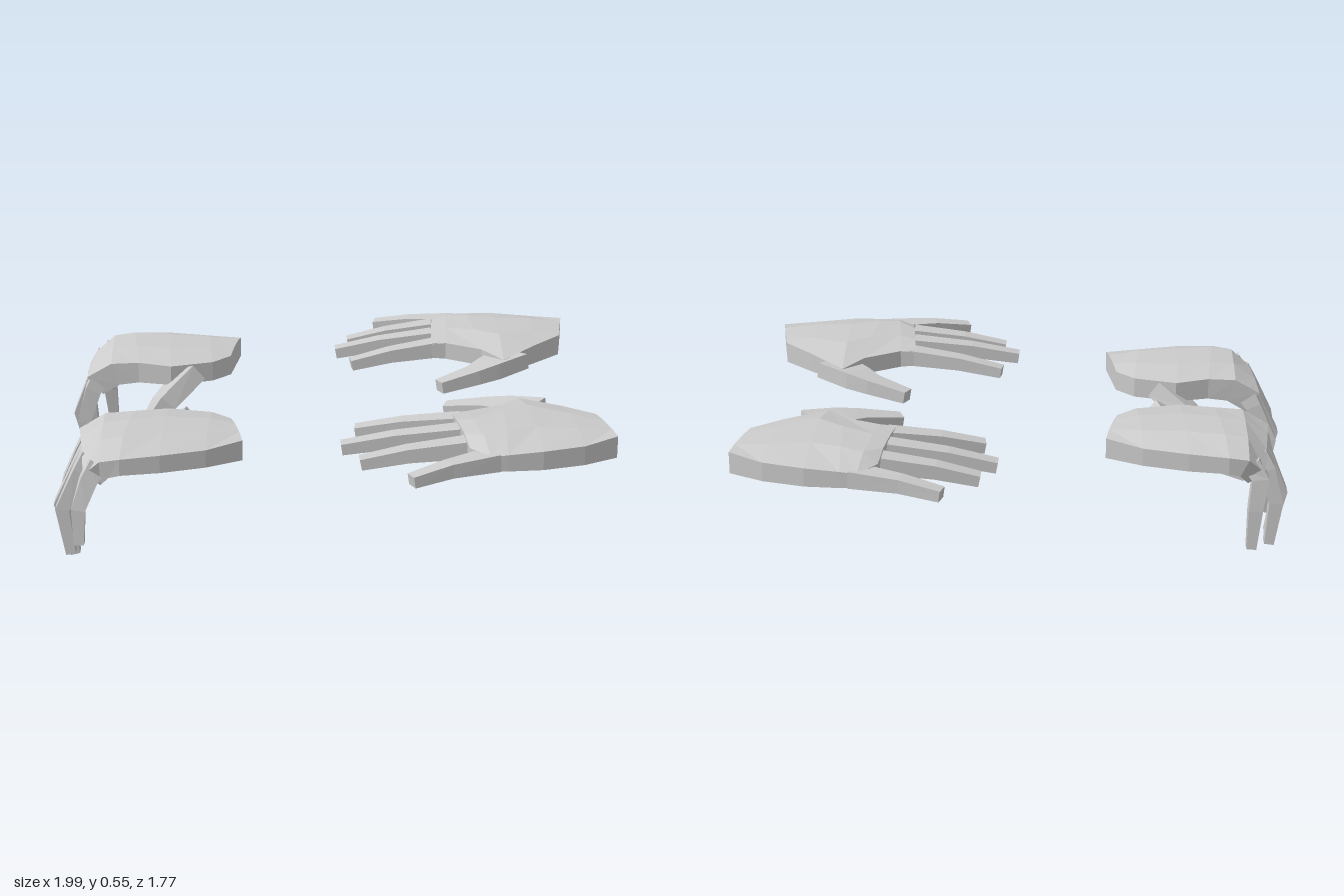
import * as THREE from 'three';

const material = new THREE.MeshStandardMaterial({ color: 0xcccccc, flatShading: true });

// Closed skin through rings of equal point count, turned so that it faces outward
function loft(name, rings) {
  const n = rings[0].length, last = (rings.length - 1) * n;
  const pts = rings.flat();
  const tris = [];
  for (let r = 0; r < rings.length - 1; r++) {
    for (let i = 0; i < n; i++) {
      const a = r * n + i, b = r * n + (i + 1) % n;
      tris.push([a, b, b + n], [a, b + n, a + n]);
    }
  }
  for (let i = 1; i < n - 1; i++) {
    tris.push([0, i + 1, i], [last, last + i, last + i + 1]);
  }
  const center = pts.reduce((s, p) => s.add(p), new THREE.Vector3()).divideScalar(pts.length);
  const rel = pts.map((p) => p.clone().sub(center));
  let volume = 0;
  for (const [a, b, c] of tris) volume += rel[a].dot(rel[b].clone().cross(rel[c]));
  if (volume < 0) tris.forEach((t) => t.reverse());
  const indexed = new THREE.BufferGeometry().setFromPoints(pts);
  indexed.setIndex(tris.flat());
  const geometry = indexed.toNonIndexed();
  geometry.computeVertexNormals();
  const mesh = new THREE.Mesh(geometry, material);
  mesh.name = name;
  return mesh;
}

// Palm from stations: thumb-side x,z / little-finger-side x,z / top heights (thumb, middle, outer) / bottom / bottom lean
function palm(stations, place) {
  const rings = stations.map(([ax, az, bx, bz, ya, ym, yb, bot, lean = 0]) => {
    const at = (t, y, dx = 0) => place(ax + (bx - ax) * t + dx, y, az + (bz - az) * t);
    return [at(0, ya), at(0.33, ym), at(0.72, ym), at(1, yb), at(1, bot, lean), at(0, bot, lean)];
  });
  return loft('palm', rings);
}

// Finger as a tapering box chain; each joint is x, y, z, width, thickness
function finger(name, joints, place) {
  const c = joints.map(([x, y, z]) => place(x, y, z));
  const rings = joints.map(([, , , w, h], i) => {
    const t = c[Math.min(i + 1, c.length - 1)].clone().sub(c[Math.max(i - 1, 0)]).normalize();
    const up = t.clone().cross(new THREE.Vector3(0, 0, 1)).normalize();
    const side = up.clone().cross(t);
    return [[1, 1], [1, -1], [-1, -1], [-1, 1]].map(([u, v]) =>
      c[i].clone().addScaledVector(side, u * w / 2).addScaledVector(up, v * h / 2));
  });
  return loft(name, rings);
}

const fingerNames = ['indexFinger', 'middleFinger', 'ringFinger', 'littleFinger'];

const openPalm = [
  [0.96, 0.43, 1.0, 0.655, 0.525, 0.53, 0.525, 0.445],
  [0.85, 0.325, 0.875, 0.72, 0.52, 0.54, 0.515, 0.445],
  [0.71, 0.195, 0.725, 0.765, 0.505, 0.547, 0.515, 0.447],
  [0.635, 0.295, 0.60, 0.78, 0.515, 0.547, 0.51, 0.45],
  [0.5, 0.365, 0.54, 0.785, 0.52, 0.54, 0.505, 0.455],
  [0.44, 0.365, 0.475, 0.705, 0.515, 0.53, 0.51, 0.46],
];

// Open hand lying flat; tips hold x, y, z
function openHand(name, place, tips) {
  const hand = new THREE.Group();
  hand.name = name;
  hand.add(palm(openPalm, place));
  const bases = [[0.47, 0.49, 0.405], [0.46, 0.492, 0.522], [0.47, 0.49, 0.645], [0.56, 0.48, 0.74]];
  tips.forEach((tip, i) => {
    const base = bases[i];
    const mid = base.map((v, k) => v + (tip[k] - v) * 0.55);
    mid[1] += 0.008;
    hand.add(finger(fingerNames[i], [
      [...base, i === 3 ? 0.09 : 0.075, 0.062],
      [...mid, 0.062, 0.05],
      [...tip, 0.052, 0.04],
    ], place));
  });
  hand.add(finger('thumb', [
    [0.76, 0.48, 0.29, 0.16, 0.06],
    [0.655, 0.465, 0.205, 0.12, 0.062],
    [0.59, 0.455, 0.16, 0.085, 0.055],
    [0.452, 0.432, 0.102, 0.055, 0.045],
  ], place));
  return hand;
}

const curledPalm = [
  [-0.35, 0.285, -0.31, 0.51, 0.475, 0.485, 0.475, 0.40],
  [-0.42, 0.215, -0.44, 0.575, 0.475, 0.495, 0.465, 0.40],
  [-0.58, 0.17, -0.60, 0.62, 0.475, 0.50, 0.465, 0.40],
  [-0.705, 0.205, -0.74, 0.64, 0.48, 0.50, 0.46, 0.40],
  [-0.81, 0.21, -0.81, 0.635, 0.475, 0.49, 0.45, 0.39, 0.03],
  [-0.905, 0.215, -0.87, 0.60, 0.42, 0.435, 0.39, 0.35, 0.06],
];

// Hand with fingers hanging down; rows hold base z, tip z, outermost x, tip x, tip y
function curledHand(name, place, rows, thumb) {
  const hand = new THREE.Group();
  hand.name = name;
  hand.add(palm(curledPalm, place));
  rows.forEach(([zb, zt, xOut, xTip, yTip], i) => {
    const yMid = yTip + (0.38 - yTip) * 0.52;
    const x0 = i === 3 ? -0.82 : -0.85;
    hand.add(finger(fingerNames[i], [
      [x0, 0.415, zb, 0.09, 0.07],
      [x0 - 0.035, 0.36, zb + (zt - zb) * 0.3, 0.085, 0.06],
      [xOut + 0.03, yMid, zb + (zt - zb) * 0.75, 0.066, 0.05],
      [xTip, yTip, zt, 0.05, 0.035],
    ], place));
  });
  hand.add(finger('thumb', thumb, place));
  return hand;
}

export function createModel() {
  const model = new THREE.Group();
  const front = (x, y, z) => new THREE.Vector3(x, y, z);
  const backOpen = (x, y, z) => new THREE.Vector3(x, y, -z - 0.042);
  const backCurled = (x, y, z) => new THREE.Vector3(x, y + 0.045, -z);

  model.add(openHand('frontOpenHand', front, [
    [0.1, 0.445, 0.353], [0.04, 0.447, 0.522], [0.1, 0.44, 0.652], [0.262, 0.452, 0.855],
  ]));
  model.add(openHand('backOpenHand', backOpen, [
    [0.125, 0.44, 0.36], [0.072, 0.435, 0.528], [0.127, 0.435, 0.65], [0.247, 0.452, 0.825],
  ]));

  model.add(curledHand('frontCurledHand', front, [
    [0.262, 0.218, -0.98, -0.925, 0.06],
    [0.37, 0.39, -1.0, -0.925, 0.003],
    [0.47, 0.515, -0.985, -0.93, 0.058],
    [0.56, 0.64, -0.92, -0.89, 0.145],
  ], [
    [-0.53, 0.425, 0.235, 0.17, 0.07],
    [-0.62, 0.36, 0.165, 0.13, 0.07],
    [-0.715, 0.27, 0.125, 0.075, 0.06],
    [-0.84, 0.235, 0.155, 0.045, 0.04],
  ]));
  model.add(curledHand('backCurledHand', backCurled, [
    [0.262, 0.23, -0.95, -0.90, 0.085],
    [0.37, 0.37, -0.975, -0.91, 0.06],
    [0.47, 0.505, -0.95, -0.90, 0.08],
    [0.56, 0.605, -0.87, -0.83, 0.105],
  ], [
    [-0.51, 0.425, 0.22, 0.17, 0.07],
    [-0.61, 0.34, 0.125, 0.13, 0.07],
    [-0.69, 0.23, 0.085, 0.075, 0.06],
    [-0.84, 0.175, 0.115, 0.045, 0.04],
  ]));
  return model;
}
